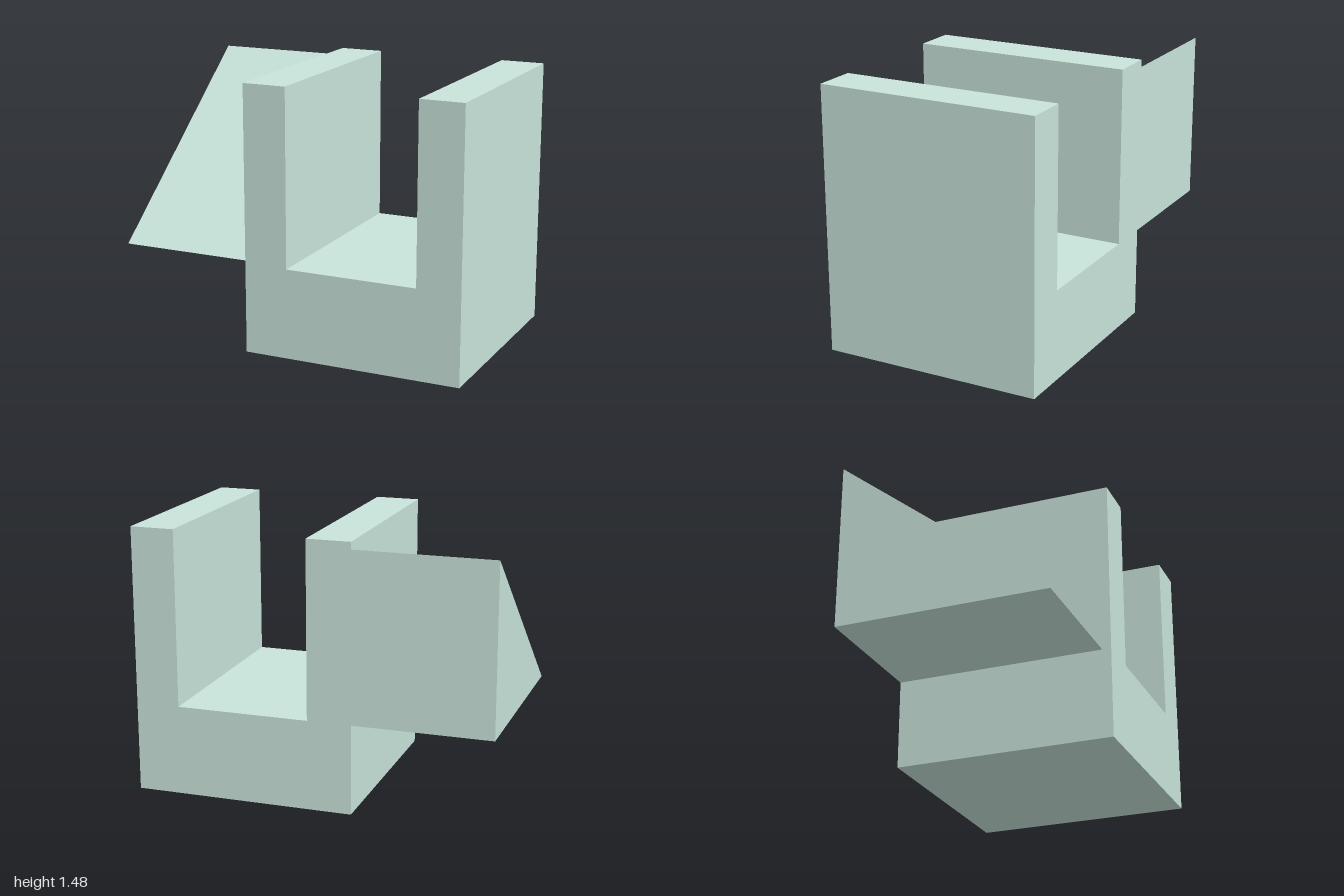
import * as THREE from 'three';

// Extrude a closed outline of [x, y] points by the given depth
function prism(name, points, depth, material) {
  const shape = new THREE.Shape(points.map(([x, y]) => new THREE.Vector2(x, y)));
  const geometry = new THREE.ExtrudeGeometry(shape, { depth, bevelEnabled: false });
  const mesh = new THREE.Mesh(geometry, material);
  mesh.name = name;
  return mesh;
}

export function createModel() {
  const group = new THREE.Group();
  group.name = 'slottedBlockWithRamp';
  const material = new THREE.MeshStandardMaterial({ color: 0xc8e4da });

  const halfDepth = 0.615;
  const left = -0.23, right = 1, wall = 0.245, floor = 0.5, top = 1.48;

  // U-shaped block: thick floor with two upright walls
  const block = prism('slottedBlock', [
    [left, 0], [right, 0], [right, top], [right - wall, top],
    [right - wall, floor], [left + wall, floor], [left + wall, top], [left, top],
  ], halfDepth * 2, material);
  block.position.z = -halfDepth;
  group.add(block);

  // Wedge on the side wall, tall at the back and sloping down to the front;
  // the outline is drawn with its first axis turned from x to -z
  const ramp = prism('rampWedge', [
    [-0.565, floor], [halfDepth, floor], [halfDepth, 1.44],
  ], left + 1, material);
  ramp.rotation.y = Math.PI / 2;
  ramp.position.x = -1;
  group.add(ramp);

  return group;
}
